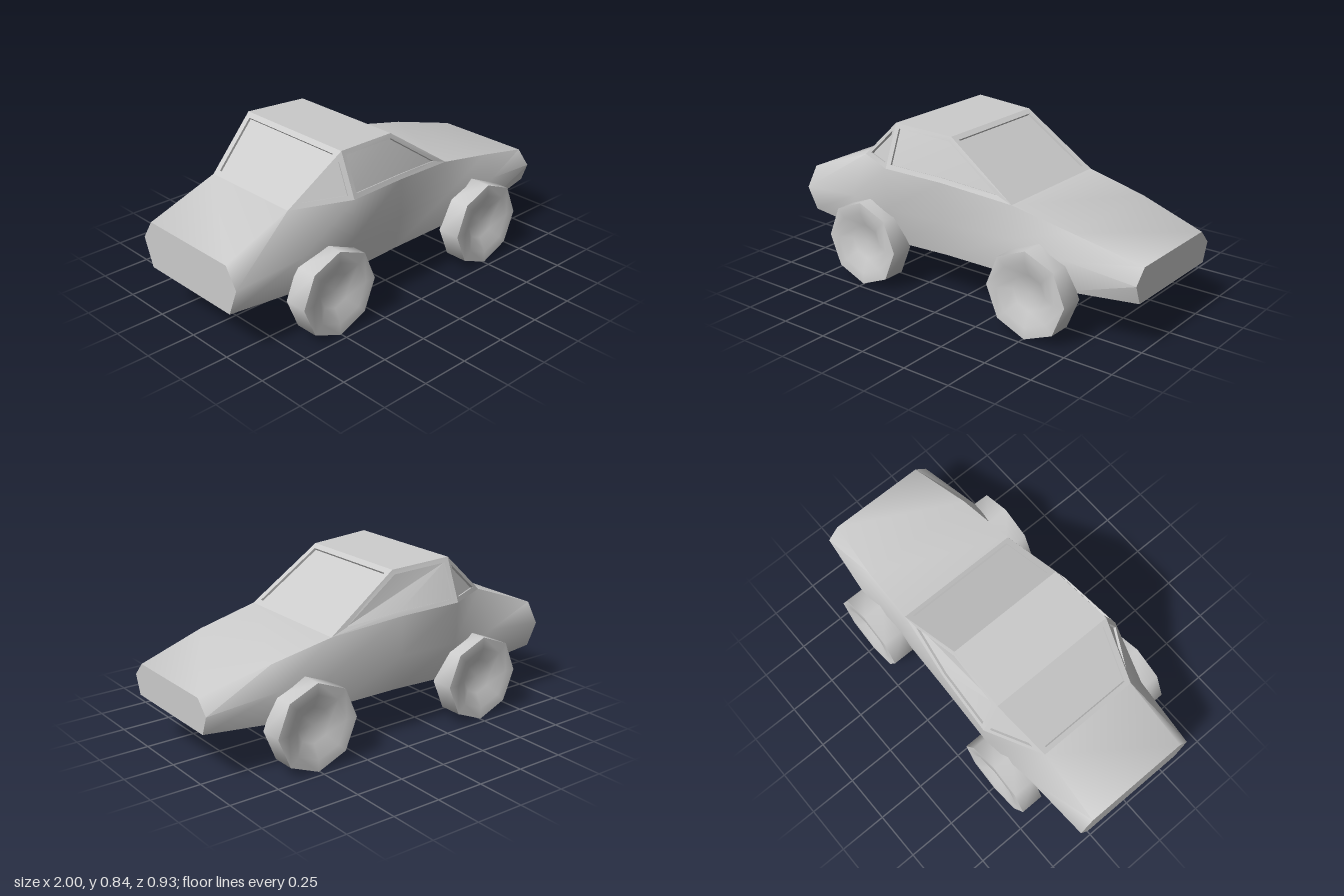
import * as THREE from 'three';
import { toCreasedNormals } from 'three/addons/utils/BufferGeometryUtils.js';

const material = new THREE.MeshStandardMaterial({ color: 0xcccccc, side: THREE.DoubleSide });

function makeMesh(name, geometry, crease) {
  const mesh = new THREE.Mesh(toCreasedNormals(geometry, crease), material);
  mesh.name = name;
  return mesh;
}

function indexed(points, index) {
  const geometry = new THREE.BufferGeometry().setFromPoints(points);
  geometry.setIndex(index);
  return geometry;
}

// Lower body: lofted along x; rows are x, sill y/z, waist y/z, shoulder y/z
const SECTIONS = [
  [-1.00, 0.24, 0.29, 0.38, 0.345, 0.48, 0.28],
  [-0.64, 0.23, 0.33, 0.42, 0.37, 0.615, 0.27],
  [-0.37, 0.222, 0.345, 0.42, 0.405, 0.63, 0.415],
  [-0.04, 0.238, 0.35, 0.42, 0.39, 0.62, 0.39],
  [0.33, 0.24, 0.35, 0.42, 0.365, 0.575, 0.33],
  [0.65, 0.24, 0.35, 0.40, 0.375, 0.51, 0.31],
  [1.00, 0.255, 0.29, 0.35, 0.325, 0.42, 0.26],
];

function bodyGeometry() {
  const points = [], index = [], n = 6;
  for (const [x, by, bz, my, mz, ty, tz] of SECTIONS) {
    const ring = [[by, bz], [my, mz], [ty, tz], [ty, -tz], [my, -mz], [by, -bz]];
    for (const [y, z] of ring) points.push(new THREE.Vector3(x, y, z));
  }
  const last = (SECTIONS.length - 1) * n;
  for (let s = 0; s < last; s += n) {
    for (let k = 0; k < n; k++) {
      const j = (k + 1) % n;
      index.push(s + k, s + n + k, s + n + j, s + k, s + n + j, s + j);
    }
  }
  // Tail and nose ends
  for (let k = 1; k < n - 1; k++) {
    index.push(0, k, k + 1, last, last + k + 1, last + k);
  }
  return indexed(points, index);
}

// Window panel: flat frame, short reveal and recessed pane
function windowPanel(name, corners, width, depth = 0.012) {
  const n = corners.length;
  const normal = new THREE.Vector3();
  for (let i = 0; i < n; i++) {
    normal.add(new THREE.Vector3().crossVectors(corners[i], corners[(i + 1) % n]));
  }
  normal.normalize();
  const inward = corners.map((p, i) =>
    normal.clone().cross(corners[(i + 1) % n].clone().sub(p)).normalize());
  const inner = corners.map((p, i) => {
    const a = inward[(i + n - 1) % n], b = inward[i];
    return a.clone().add(b).multiplyScalar(width / (1 + a.dot(b))).add(p);
  });
  const pane = inner.map((p) => p.clone().addScaledVector(normal, -depth));
  const index = [];
  for (let ring = 0; ring < 2; ring++) {
    for (let i = 0; i < n; i++) {
      const a = ring * n + i, b = ring * n + (i + 1) % n;
      index.push(a, b, b + n, a, b + n, a + n);
    }
  }
  for (let i = 1; i < n - 1; i++) index.push(2 * n, 2 * n + i, 2 * n + i + 1);
  return makeMesh(name, indexed([...corners, ...inner, ...pane], index), 0.4);
}

// Cabin corners on the left side
const CABIN = {
  rearBase: [-0.64, 0.615, 0.27],
  rearTop: [-0.37, 0.842, 0.33],
  beltRear: [-0.37, 0.63, 0.415],
  beltMid: [-0.04, 0.62, 0.39],
  frontBase: [0.33, 0.575, 0.33],
  frontTop: [-0.04, 0.828, 0.31],
};
const corner = (key, side) => {
  const [x, y, z] = CABIN[key];
  return new THREE.Vector3(x, y, z * side);
};

function createCabin() {
  const cabin = new THREE.Group();
  cabin.name = 'cabin';
  for (const side of [1, -1]) {
    const label = side > 0 ? 'left' : 'right';
    const outline = (keys) => {
      const list = keys.map((key) => corner(key, side));
      return side > 0 ? list : list.reverse();
    };
    cabin.add(windowPanel(label + 'QuarterWindow', outline(['rearBase', 'beltRear', 'rearTop']), 0.024));
    cabin.add(windowPanel(label + 'DoorWindow',
      outline(['beltRear', 'beltMid', 'frontBase', 'frontTop', 'rearTop']), 0.024));
  }
  cabin.add(windowPanel('windshield', [corner('frontBase', 1), corner('frontBase', -1),
    corner('frontTop', -1), corner('frontTop', 1)], 0.03));
  cabin.add(windowPanel('rearWindow', [corner('rearBase', -1), corner('rearBase', 1),
    corner('rearTop', 1), corner('rearTop', -1)], 0.028));
  const roof = [corner('rearTop', 1), corner('frontTop', 1), corner('frontTop', -1), corner('rearTop', -1)];
  cabin.add(makeMesh('roof', indexed(roof, [0, 1, 2, 0, 2, 3]), 0.4));
  return cabin;
}

// Eight-sided wheel with a dished hub on both faces
function wheelGeometry() {
  const r = 0.218, h = 0.06;
  const profile = [[0, -h + 0.045], [0.09, -h + 0.035], [0.16, -h], [r, -h],
    [r, h], [0.16, h], [0.09, h - 0.035], [0, h - 0.045]];
  const geometry = new THREE.LatheGeometry(profile.map(([x, y]) => new THREE.Vector2(x, y)), 8);
  return geometry.rotateX(Math.PI / 2);
}

export function createModel() {
  const car = new THREE.Group();
  car.name = 'car';
  car.add(makeMesh('body', bodyGeometry(), 1.0));
  car.add(createCabin());
  for (const x of [0.505, -0.505]) {
    for (const side of [1, -1]) {
      const name = (x > 0 ? 'front' : 'rear') + (side > 0 ? 'Left' : 'Right') + 'Wheel';
      const wheel = makeMesh(name, wheelGeometry(), 0.85);
      wheel.position.set(x, 0.218, side * 0.406);
      car.add(wheel);
    }
  }
  return car;
}
